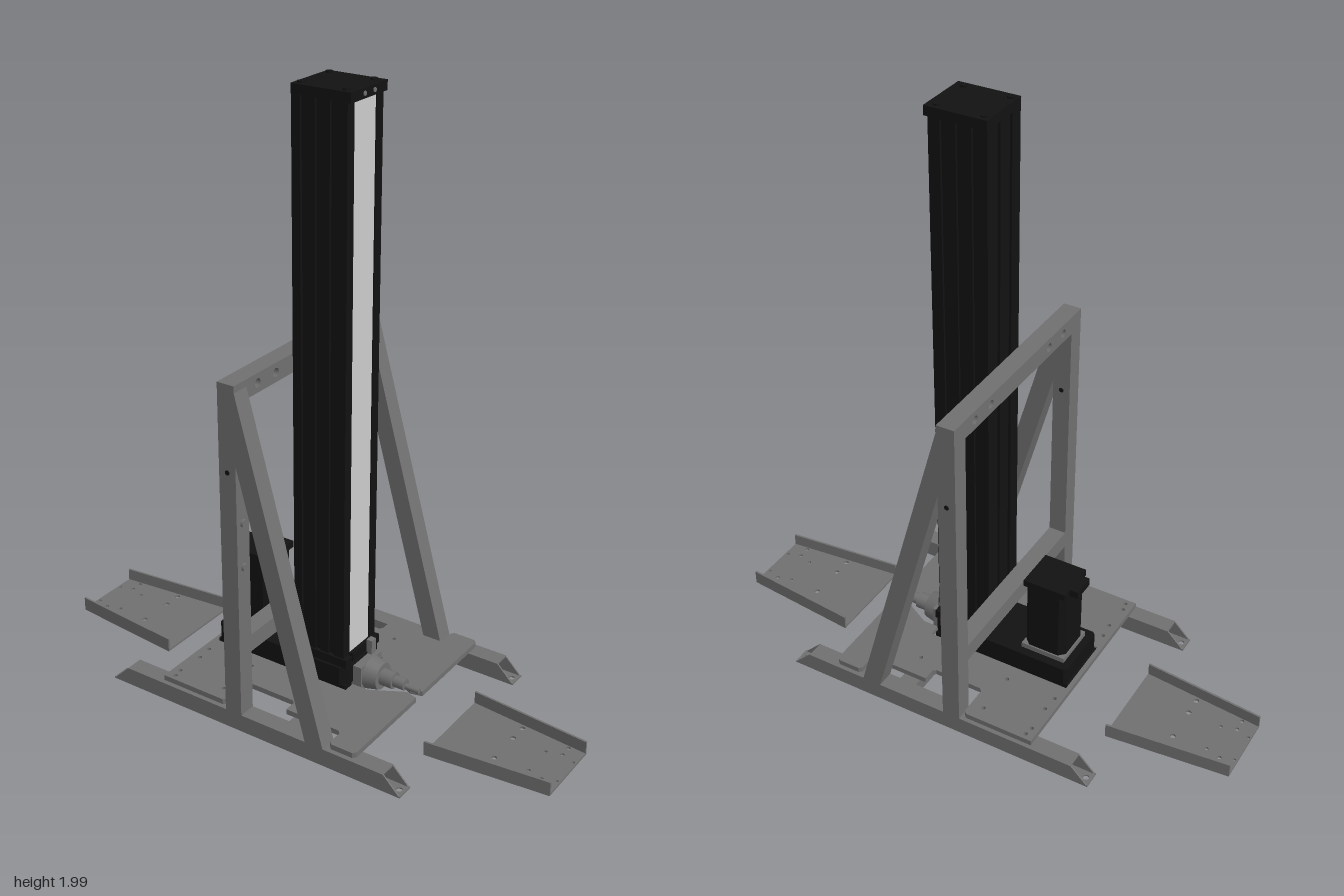
import * as THREE from 'three';

const paint = (color) => new THREE.MeshStandardMaterial({ color, side: THREE.DoubleSide });

export function createModel() {
  const root = new THREE.Group();
  const steel = paint(0x707070), black = paint(0x121212), light = paint(0xcccccc);

  const add = (name, geo, mat) => {
    const m = new THREE.Mesh(geo, mat);
    m.name = name;
    root.add(m);
    return m;
  };
  // box given by its limits on each axis
  const box = (name, mat, x0, x1, y0, y1, z0, z1) =>
    add(name, new THREE.BoxGeometry(x1 - x0, y1 - y0, z1 - z0)
      .translate((x0 + x1) / 2, (y0 + y1) / 2, (z0 + z1) / 2), mat);
  const outline = (pts, holes = []) => {
    const s = new THREE.Shape(pts.map(([a, b]) => new THREE.Vector2(a, b)));
    for (const [a, b, r] of holes) s.holes.push(new THREE.Path().absarc(a, b, r, 0, Math.PI * 2, true));
    return s;
  };
  const extrude = (shape, depth) =>
    new THREE.ExtrudeGeometry(shape, { depth, bevelEnabled: false, curveSegments: 8 });
  // plan outline in (x, z), filled between y0 and y1
  const slab = (name, mat, shape, y0, y1) =>
    add(name, extrude(shape, y1 - y0).rotateX(Math.PI / 2).translate(0, y1, 0), mat);
  // side outline in (x, y), filled between z0 and z1
  const side = (name, mat, pts, z0, z1) =>
    add(name, extrude(outline(pts), z1 - z0).translate(0, 0, z0), mat);
  const mirrorZ = (half) => [...half, ...half.map(([x, z]) => [x, -z]).reverse()];
  const rodX = (name, mat, x0, x1, y, z, r0, r1 = r0, n = 20) =>
    add(name, new THREE.CylinderGeometry(r1, r0, x1 - x0, n).rotateZ(-Math.PI / 2)
      .translate((x0 + x1) / 2, y, z), mat);

  for (const s of [-1, 1]) {
    const zi = s > 0 ? 0.32 : -0.38, zo = zi + 0.06, w = 0.005;
    // hollow skid with slanted open ends
    const wall = [[-0.55, 0.005], [0.55, 0.005], [0.49, 0.065], [-0.49, 0.065]];
    side('skidWall', steel, wall, zi, zi + w);
    side('skidWall', steel, wall, zo - w, zo);
    box('skidTop', steel, -0.49, 0.49, 0.06, 0.065, zi, zo);
    slab('skidBottom', steel, outline(
      [[-0.55, zi], [0.55, zi], [0.55, zo], [-0.55, zo]],
      [[-0.53, zi + 0.03, 0.01], [0.53, zi + 0.03, 0.01]]), 0.005, 0.01);

    // upright post and diagonal brace
    box('upright', steel, -0.09, -0.03, 0.065, 1.187, zi, zo);
    side('brace', steel, [[0.21, 0.065], [0.275, 0.065], [-0.03, 1.165], [-0.03, 0.935]], zi, zo);
    for (const y of [0.585, 0.735]) rodX('uprightBolt', steel, -0.03, -0.022, y, s * 0.35, 0.013, 0.013, 12);
    add('uprightPin', new THREE.CylinderGeometry(0.008, 0.008, 0.064, 10).rotateX(Math.PI / 2)
      .translate(-0.06, 0.905, s * 0.35), black);
  }

  // cross bars between the uprights, the upper one drilled
  const barHoles = [-0.265, -0.175, 0.175, 0.265].map((z) => [z, 1.156, 0.014]);
  add('topCrossbar', extrude(outline([[-0.32, 1.125], [0.32, 1.125], [0.32, 1.187], [-0.32, 1.187]], barHoles), 0.06)
    .rotateY(Math.PI / 2).translate(-0.09, 0, 0), steel);
  box('lowerCrossbar', steel, -0.09, -0.03, 0.27, 0.33, -0.32, 0.32);
  box('floorCrossbar', steel, 0.11, 0.17, 0.015, 0.065, -0.32, 0.32);

  // base plate: side notches, drive opening and flared slot at the shaft
  const plateHalf = [[-0.345, 0.11], [-0.345, 0.37], [-0.11, 0.37], [-0.1, 0.36], [-0.1, 0.26], [-0.09, 0.25],
    [0.075, 0.25], [0.085, 0.26], [0.085, 0.3], [0.28, 0.3], [0.29, 0.31], [0.29, 0.36], [0.3, 0.37],
    [0.375, 0.37], [0.385, 0.36], [0.385, 0.02], [0.345, 0.01], [0.235, 0.07], [0.18, 0.07], [0.18, 0.11]];
  const plateHoles = [[-0.315, 0.35], [-0.315, 0.225], [-0.32, 0.17], [-0.32, 0.32], [-0.145, 0.17], [-0.145, 0.32], [0.15, 0.225]];
  for (const s of [-1, 1])
    slab('basePlate', steel, outline(plateHalf.map(([x, z]) => [x, s * z]),
      plateHoles.map(([x, z]) => [x, s * z, 0.007])), 0.07, 0.088);
  box('plateRearEdge', steel, -0.345, -0.33, 0.07, 0.088, -0.11, 0.11);

  // drive housing at the foot of the column
  slab('driveHousing', black, outline(mirrorZ([[-0.325, 0.095], [-0.315, 0.104], [0.15, 0.104], [0.175, 0.08]])), 0.092, 0.155);
  slab('driveFloor', black, outline(mirrorZ([[-0.33, 0.1], [0.17, 0.1]])), 0.07, 0.092);
  for (const s of [-1, 1]) box('columnFoot', black, -0.03, 0.172, 0.155, 0.185, s * 0.08 - 0.016, s * 0.08 + 0.016);
  box('stripClamp', black, 0.15, 0.17, 0.16, 0.19, -0.055, 0.055);

  // grooved column
  const grooveHalf = [[-0.03, 0.02], [-0.022, 0.02], [-0.022, 0.045], [-0.03, 0.045], [-0.03, 0.09]];
  for (const x of [0.0, 0.05, 0.1]) grooveHalf.push([x, 0.09], [x, 0.082], [x + 0.02, 0.082], [x + 0.02, 0.09]);
  grooveHalf.push([0.158, 0.09], [0.158, 0.056], [0.15, 0.056]);
  slab('column', black, outline(mirrorZ(grooveHalf)), 0.155, 1.965);
  box('coverStrip', light, 0.15, 0.156, 0.19, 1.965, -0.054, 0.054);
  box('columnCap', black, -0.03, 0.17, 1.965, 1.995, -0.092, 0.092);
  for (const x of [-0.01, 0.14]) for (const z of [-0.07, 0.07])
    add('capScrew', new THREE.CylinderGeometry(0.011, 0.011, 0.006, 12).translate(x, 1.997, z), black);
  for (const z of [-0.025, 0.025]) rodX('capFrontScrew', steel, 0.17, 0.173, 1.98, z, 0.007, 0.007, 10);

  // motor standing behind the column
  box('motorFlange', steel, -0.3, -0.145, 0.155, 0.172, -0.075, 0.075);
  const c = 0.02;
  slab('motorBody', black, outline(mirrorZ([[-0.295, 0.07 - c], [-0.295 + c, 0.07], [-0.15 - c, 0.07], [-0.15, 0.07 - c]])), 0.172, 0.415);
  box('motorCap', black, -0.295, -0.148, 0.415, 0.438, -0.072, 0.072);
  box('motorConnector', black, -0.325, -0.295, 0.412, 0.438, -0.04, 0.04);

  // stepped shaft fitting
  box('shaftBlock', steel, 0.17, 0.205, 0.075, 0.15, -0.06, 0.06);
  rodX('shaftFlange', steel, 0.205, 0.25, 0.105, 0, 0.055, 0.045);
  rodX('shaftCollar', steel, 0.25, 0.295, 0.105, 0, 0.028);
  rodX('shaftNeck', steel, 0.295, 0.335, 0.105, 0, 0.019);
  rodX('shaftTip', steel, 0.335, 0.385, 0.1, 0, 0.009, 0.009, 12);
  box('shaftBracket', steel, 0.17, 0.19, 0.15, 0.2, -0.05, -0.025);

  // tapered trays ahead of and behind the frame
  const trayHoles = [[0.69, 0.12, 0.009], [0.69, 0.06, 0.009], [0.805, 0.055, 0.006],
    [0.855, 0.07, 0.007], [0.855, 0.11, 0.007], [0.9, 0.055, 0.005]];
  for (const d of [-1, 1]) {
    const holes = trayHoles.flatMap(([x, z, r]) => [[d * x, z, r], [d * x, -z, r]]);
    slab('trayFloor', steel, outline(mirrorZ([[d * 0.5, 0.162], [d * 0.91, 0.122]]), holes), 0.006, 0.013);
    for (const s of [-1, 1])
      slab('trayFlange', steel, outline([[d * 0.5, s * 0.155], [d * 0.91, s * 0.115],
        [d * 0.91, s * 0.122], [d * 0.5, s * 0.162]]), 0.006, 0.054);
  }

  // stand on the ground
  root.children.forEach((m) => m.geometry.translate(0, -0.0025, 0));
  return root;
}
